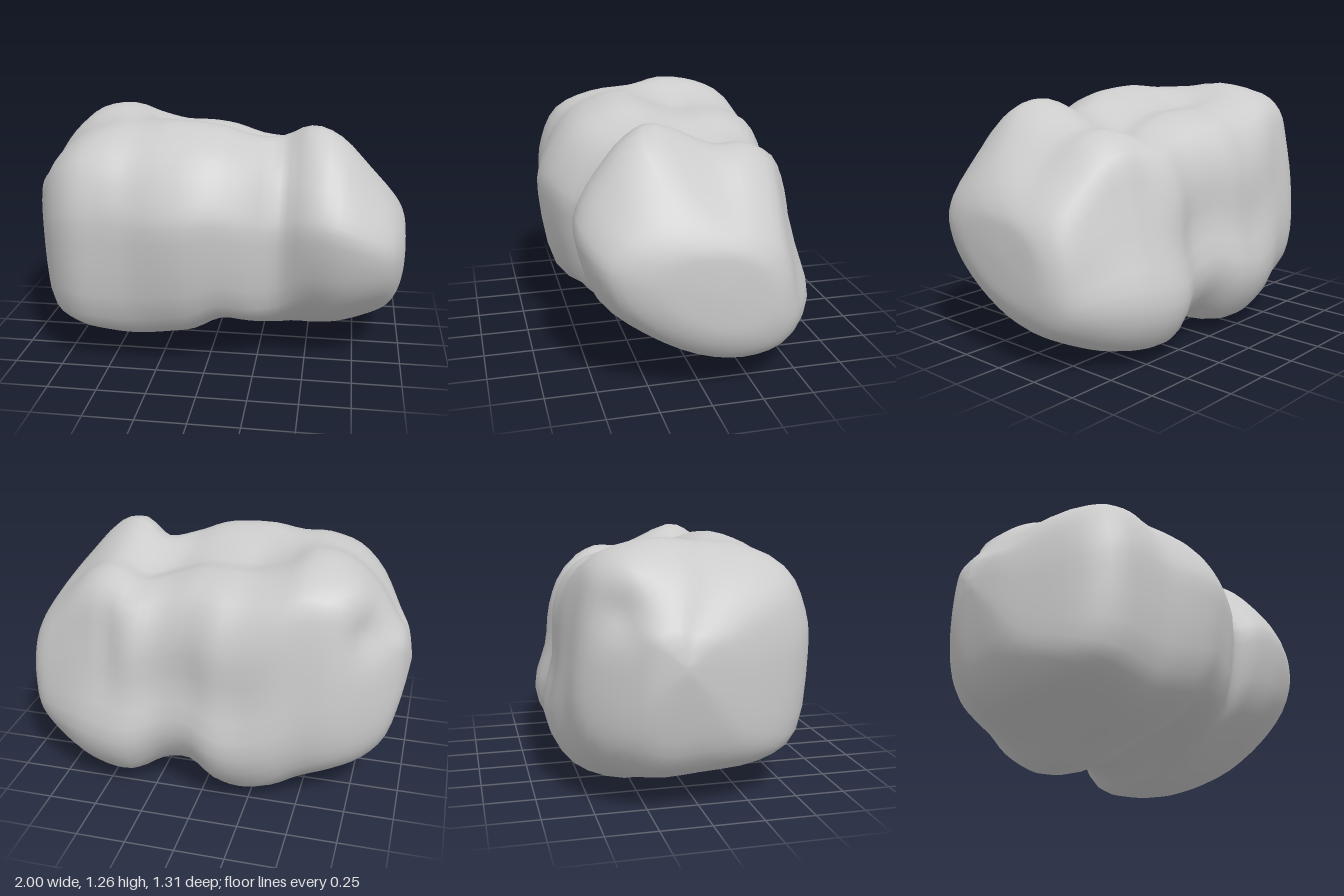
import * as THREE from 'three';
import { mergeVertices } from 'three/addons/utils/BufferGeometryUtils.js';

const AROUND = 48, STEPS_PER_STATION = 3;

// Cross-section outlines as z, y pairs: front, over the top, down the back, under the belly
const OUTLINES = [
  // narrow end, highest towards the back
  [0.57, 0.72, 0.55, 0.94, 0.46, 1.12, 0.27, 1.2, 0.05, 1.22, -0.14, 1.28, -0.35, 1.24, -0.48, 1.16,
    -0.53, 1.02, -0.57, 0.76, -0.58, 0.46, -0.51, 0.25, -0.3, 0.12, 0, 0.125, 0.33, 0.165, 0.52, 0.31],
  // middle, with a saddle on top behind a front ridge
  [0.65, 0.73, 0.62, 0.92, 0.5, 1.12, 0.34, 1.22, 0.17, 1.25, -0.1, 1.155, -0.27, 1.165, -0.48, 1.09,
    -0.585, 0.88, -0.6, 0.6, -0.65, 0.32, -0.52, 0.08, -0.25, 0, 0.06, 0.075, 0.35, 0.15, 0.57, 0.32],
  // lobe, cut away below the front
  [0.58, 0.75, 0.55, 0.9, 0.45, 1.05, 0.33, 1.18, 0.18, 1.235, -0.1, 1.12, -0.27, 1.12, -0.42, 1.03,
    -0.49, 0.83, -0.56, 0.6, -0.64, 0.33, -0.54, 0.11, -0.28, 0.03, -0.02, 0.08, 0.26, 0.24, 0.48, 0.44],
  // rounded end of the lobe
  [0.45, 0.66, 0.41, 0.77, 0.32, 0.84, 0.19, 0.88, 0.04, 0.88, -0.11, 0.86, -0.24, 0.81, -0.34, 0.73,
    -0.4, 0.61, -0.42, 0.47, -0.4, 0.33, -0.31, 0.23, -0.17, 0.2, 0.03, 0.24, 0.23, 0.35, 0.39, 0.51],
];

// Stations along the body: x, bottom, top, back, front, outline blend (0 to 3)
const STATIONS = [
  [-1, 0.73, 0.73, -0.12, -0.12, 0],
  [-0.97, 0.54, 0.87, -0.26, 0.03, 0],
  [-0.91, 0.31, 0.96, -0.35, 0.2, 0],
  [-0.8, 0.18, 1.11, -0.46, 0.45, 0],
  [-0.66, 0.125, 1.23, -0.56, 0.575, 0],
  [-0.5, 0.07, 1.28, -0.6, 0.595, 0.2],
  [-0.36, 0.015, 1.26, -0.64, 0.605, 0.6],
  [-0.21, 0, 1.25, -0.655, 0.64, 1],
  [-0.07, 0.035, 1.245, -0.655, 0.65, 1],
  [0.07, 0.11, 1.225, -0.605, 0.62, 1],
  [0.22, 0.085, 1.175, -0.59, 0.56, 1],
  [0.36, 0.03, 1.165, -0.645, 0.475, 1.3],
  [0.5, 0.03, 1.235, -0.64, 0.545, 2],
  [0.65, 0.06, 1.19, -0.595, 0.57, 2],
  [0.8, 0.125, 1.03, -0.515, 0.53, 2.3],
  [0.92, 0.2, 0.88, -0.43, 0.45, 2.7],
  [0.98, 0.31, 0.77, -0.32, 0.3, 3],
  [0.995, 0.43, 0.69, -0.21, 0.14, 3],
  [1, 0.56, 0.56, -0.04, -0.04, 3],
];

// Hollow and swelling on the narrow end: centre, push direction, spread
const DENTS = [
  { at: [-0.82, 0.95, -0.38], push: [0.04, 0, 0.03], spread: 0.11 },
  { at: [-0.72, 1.14, -0.32], push: [-0.02, 0.02, -0.01], spread: 0.12 },
];

// Smooth closed outline, fitted to a 0..1 square
function unitOutline(flat) {
  const corners = [];
  for (let i = 0; i < flat.length; i += 2) corners.push(new THREE.Vector3(0, flat[i + 1], flat[i]));
  const curve = new THREE.CatmullRomCurve3(corners, true, 'catmullrom', 0.5);
  const points = Array.from({ length: AROUND }, (_, i) => curve.getPoint(i / AROUND));
  const box = new THREE.Box3().setFromPoints(points);
  return points.map((p) => [
    (p.z - box.min.z) / (box.max.z - box.min.z),
    (p.y - box.min.y) / (box.max.y - box.min.y),
  ]);
}

// Catmull-Rom blend of neighbouring stations
function stationAt(t) {
  const last = STATIONS.length - 1;
  const i = Math.min(Math.floor(t), last - 1), f = t - i;
  const [a, b, c, d] = [i - 1, i, i + 1, i + 2].map((k) => STATIONS[THREE.MathUtils.clamp(k, 0, last)]);
  return b.map((v, k) => v + 0.5 * f * (c[k] - a[k]
    + f * (2 * a[k] - 5 * v + 4 * c[k] - d[k] + f * (3 * (v - c[k]) + d[k] - a[k]))));
}

function boulderGeometry() {
  const outlines = OUTLINES.map(unitOutline);
  const rings = (STATIONS.length - 1) * STEPS_PER_STATION;
  const positions = [], index = [];
  for (let r = 0; r <= rings; r++) {
    const [x, bottom, top, back, front, blend] = stationAt(r / STEPS_PER_STATION);
    const mix = THREE.MathUtils.clamp(blend, 0, OUTLINES.length - 1);
    const k = Math.min(Math.floor(mix), OUTLINES.length - 2);
    for (let j = 0; j < AROUND; j++) {
      const [z0, y0] = outlines[k][j], [z1, y1] = outlines[k + 1][j];
      const u = THREE.MathUtils.lerp(z0, z1, mix - k), v = THREE.MathUtils.lerp(y0, y1, mix - k);
      const p = new THREE.Vector3(x, bottom + (top - bottom) * v, back + (front - back) * u);
      const moved = p.clone();
      for (const { at, push, spread } of DENTS) {
        const d = p.distanceTo(new THREE.Vector3(...at)) / spread;
        moved.addScaledVector(new THREE.Vector3(...push), Math.exp(-d * d));
      }
      positions.push(moved.x, moved.y, moved.z);
      // the first and last rings are single points, closed by one triangle per side
      const a = r * AROUND + j, b = r * AROUND + (j + 1) % AROUND;
      if (r < rings - 1) index.push(a, a + AROUND, b + AROUND);
      if (r > 0 && r < rings) index.push(a, b + AROUND, b);
    }
  }
  const geometry = new THREE.BufferGeometry();
  geometry.setAttribute('position', new THREE.Float32BufferAttribute(positions, 3));
  geometry.setIndex(index);
  const welded = mergeVertices(geometry, 1e-5);
  welded.computeVertexNormals();
  return welded;
}

export function createModel() {
  const group = new THREE.Group();
  group.name = 'rock';
  const boulder = new THREE.Mesh(boulderGeometry(), new THREE.MeshStandardMaterial({ color: 0xcccccc }));
  boulder.name = 'boulder';
  group.add(boulder);
  return group;
}
